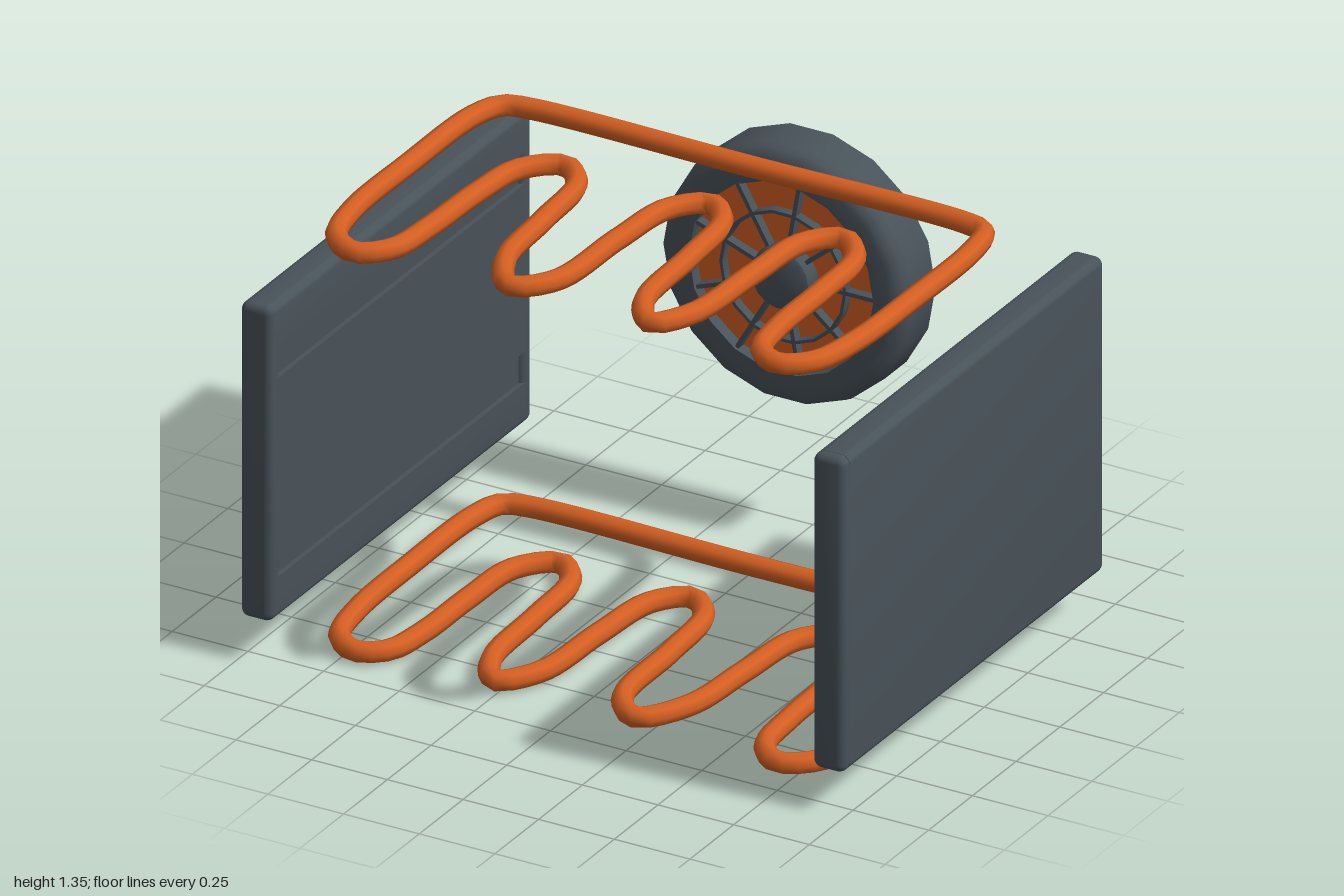
import * as THREE from 'three';
import { toCreasedNormals } from 'three/addons/utils/BufferGeometryUtils.js';

const slate = new THREE.MeshStandardMaterial({ name: 'slate', color: 0x485259 });
const copper = new THREE.MeshStandardMaterial({ name: 'copper', color: 0xd45f22 });

function add(parent, name, geometry, material) {
  const mesh = new THREE.Mesh(geometry, material);
  mesh.name = name;
  parent.add(mesh);
  return mesh;
}

// Closed serpentine heating coil, drawn as [x, z] points
function coilGeometry() {
  const path = [
    [0.72, -0.385], [0, -0.385], [-0.72, -0.385], [-0.8, -0.365], [-0.84, -0.27],
    [-0.85, 0.1], [-0.845, 0.42], [-0.8, 0.59], [-0.705, 0.65], [-0.625, 0.58], [-0.6, 0.4],
    [-0.59, 0.15], [-0.56, -0.04], [-0.46, -0.125], [-0.37, -0.04],
    [-0.34, 0.2], [-0.31, 0.47], [-0.215, 0.61], [-0.12, 0.52],
    [-0.095, 0.2], [-0.065, -0.04], [0.025, -0.125], [0.11, -0.04],
    [0.14, 0.2], [0.165, 0.5], [0.25, 0.61], [0.325, 0.5],
    [0.35, 0.2], [0.375, -0.04], [0.46, -0.125], [0.555, -0.03],
    [0.575, 0.2], [0.58, 0.45], [0.61, 0.6], [0.69, 0.65], [0.775, 0.59], [0.815, 0.42],
    [0.825, 0.1], [0.82, -0.25], [0.79, -0.36],
  ];
  const curve = new THREE.CatmullRomCurve3(
    path.map(([x, z]) => new THREE.Vector3(x, 0, z)), true, 'centripetal');
  return new THREE.TubeGeometry(curve, 220, 0.033, 8, true);
}

// Rounded panel section in x and y, optionally with two grooves on its +x side
function panelSection(w, h, r, grooved) {
  const s = new THREE.Shape();
  const x = w / 2, y = h / 2;
  s.absarc(-x + r, -y + r, r, Math.PI, Math.PI * 1.5);
  s.absarc(x - r, -y + r, r, Math.PI * 1.5, Math.PI * 2);
  if (grooved) {
    for (const c of [-0.32, 0.32]) {
      s.lineTo(x, c - 0.05);
      s.lineTo(x - 0.015, c - 0.05);
      s.lineTo(x - 0.015, c + 0.05);
      s.lineTo(x, c + 0.05);
    }
  }
  s.absarc(x - r, y - r, r, 0, Math.PI / 2);
  s.absarc(-x + r, y - r, r, Math.PI / 2, Math.PI);
  s.closePath();
  return s;
}

// Side panel: grooved middle with rounded solid ends
function sidePanel(name) {
  const g = new THREE.Group();
  g.name = name;
  const w = 0.105, h = 1.01, r = 0.025, b = 0.022;
  const body = new THREE.ExtrudeGeometry(panelSection(w, h, r, true),
    { depth: 1.43, bevelEnabled: false, curveSegments: 3 });
  add(g, 'groovedPanel', toCreasedNormals(body.translate(0, 0, -0.66), 0.6), slate);
  for (const z of [-0.668, 0.773]) {
    const end = new THREE.ExtrudeGeometry(panelSection(w, h, r, false), {
      depth: 0.01, bevelEnabled: true, bevelThickness: b, bevelSize: b,
      bevelOffset: -b, bevelSegments: 3, curveSegments: 3,
    });
    add(g, 'panelEnd', toCreasedNormals(end.translate(0, 0, z - 0.005), 0.6), slate);
  }
  return g;
}

// Turned part around z from [radius, z] points, back to front
function turned(points, sides) {
  const geo = new THREE.LatheGeometry(
    points.map(([r, z]) => new THREE.Vector2(r, z)), sides, Math.PI / 2);
  return toCreasedNormals(geo.rotateX(Math.PI / 2), 0.6);
}

function createFan() {
  const fan = new THREE.Group();
  fan.name = 'fan';
  add(fan, 'fanHousing', turned([
    [0, -0.8], [0.41, -0.8], [0.41, -0.675], [0.403, -0.65], [0.385, -0.632],
    [0.36, -0.625], [0.305, -0.625], [0.305, -0.668], [0, -0.668],
  ], 18), slate);
  const disc = add(fan, 'glowingDisc', new THREE.CircleGeometry(0.305, 18), copper);
  disc.position.z = -0.665;
  add(fan, 'fanHub', turned([
    [0.1, -0.668], [0.1, -0.63], [0.094, -0.617], [0.08, -0.61], [0, -0.61],
  ], 18), slate);
  // Guard ring and nine spokes
  add(fan, 'guardRing', turned([
    [0.2, -0.668], [0.21, -0.668], [0.21, -0.635], [0.2, -0.635], [0.2, -0.668],
  ], 18), slate);
  for (let i = 0; i < 9; i++) {
    const spoke = new THREE.BoxGeometry(0.225, 0.013, 0.033).translate(0.195, 0, -0.6515);
    add(fan, 'spoke', spoke.rotateZ(i * Math.PI * 2 / 9), slate);
  }
  fan.position.set(-0.033, 0.837, 0);
  return fan;
}

export function createModel() {
  const model = new THREE.Group();
  model.name = 'ovenInterior';

  // Upper coil, and the same coil turned over at the bottom
  const coil = coilGeometry();
  add(model, 'upperCoil', coil, copper).position.y = 1.313;
  const lower = add(model, 'lowerCoil', coil, copper);
  lower.rotation.z = Math.PI;
  lower.position.set(-0.015, 0.033, 0);

  // Side panels with their grooves facing inward
  const right = sidePanel('rightPanel');
  right.position.set(-0.9475, 0.64, 0);
  const left = sidePanel('leftPanel');
  left.rotation.y = Math.PI;
  left.position.set(0.9475, 0.64, 0.11);
  model.add(right, left, createFan());
  return model;
}
